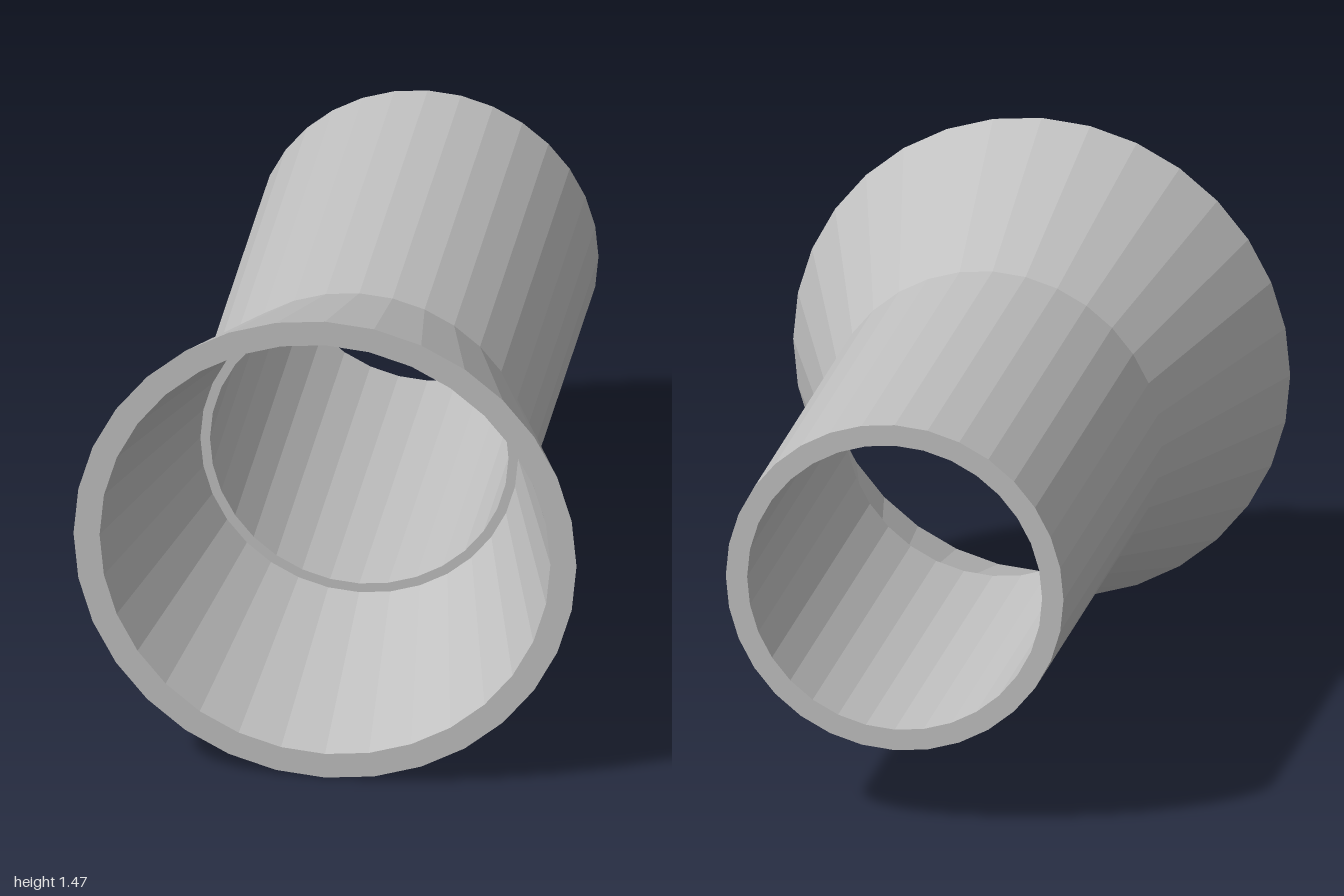
import * as THREE from 'three';

const SIDES = 32;
const AXIS_Y = 0.733; // height of the centre line
const JOINT_Z = 0.333; // where tube and flare meet

// Faceted ring section turned about the z axis; the profile holds [radius, z] pairs
function turned(name, profile, material) {
  const points = profile.map(([r, z]) => new THREE.Vector2(r, z));
  const geometry = new THREE.LatheGeometry(points, SIDES).toNonIndexed();
  geometry.rotateX(Math.PI / 2);
  geometry.computeVertexNormals();
  const mesh = new THREE.Mesh(geometry, material);
  mesh.name = name;
  mesh.position.y = AXIS_Y;
  return mesh;
}

export function createModel() {
  const grey = new THREE.MeshStandardMaterial({ color: 0xc0c0c0 });
  grey.name = 'light grey';

  const group = new THREE.Group();
  group.name = 'flaredPipe';

  // Straight pipe: outer wall, front ledge, bore and back rim
  group.add(turned('straightTube', [
    [0.498, -1], [0.498, JOINT_Z], [0.435, JOINT_Z], [0.435, -1], [0.498, -1],
  ], grey));

  // Conical mouth: outer wall, front rim and inner wall down to the ledge
  group.add(turned('flaredMouth', [
    [0.498, JOINT_Z], [0.733, 1], [0.657, 1], [0.463, JOINT_Z],
  ], grey));

  return group;
}
